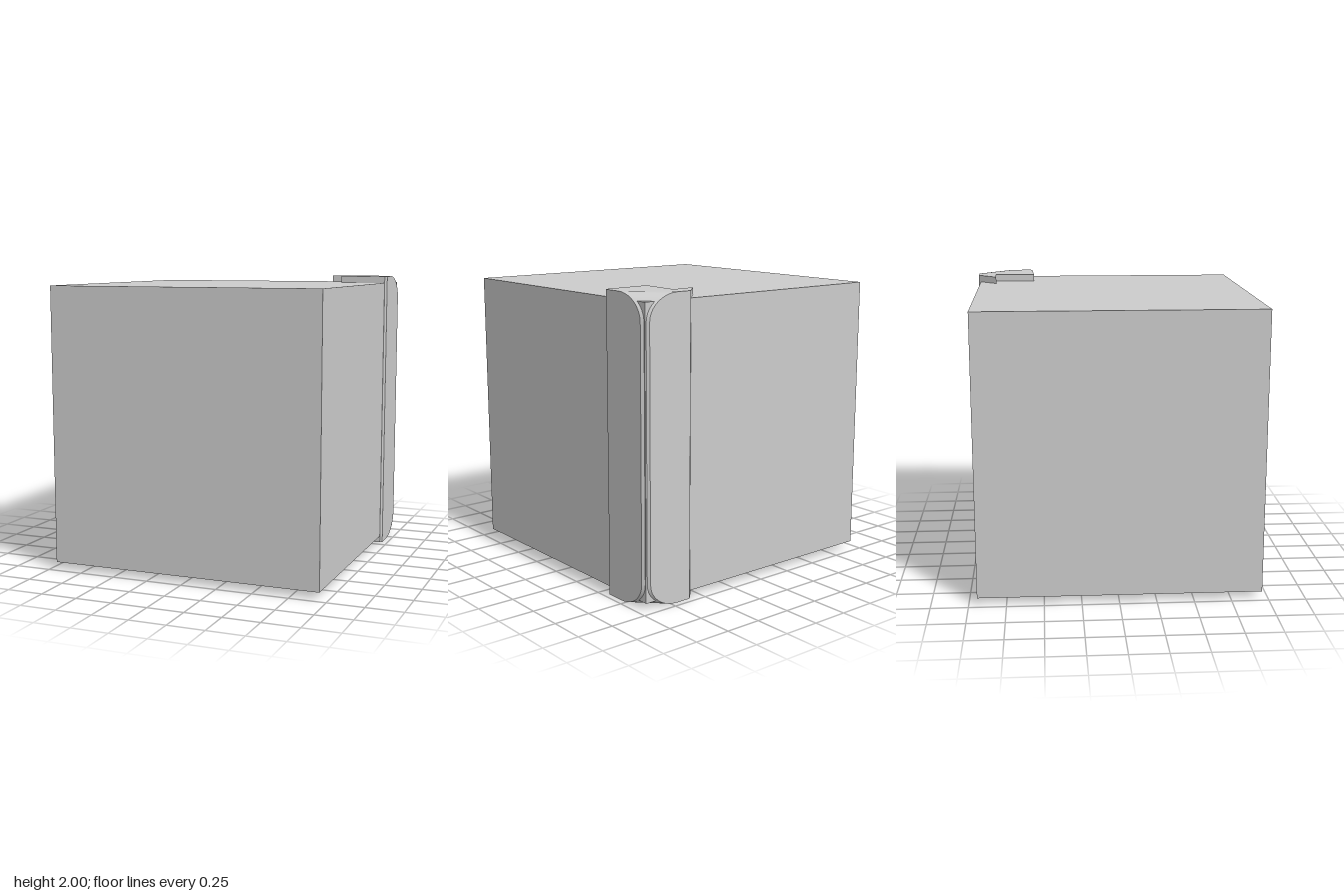
import * as THREE from 'three';
import { toCreasedNormals } from 'three/addons/utils/BufferGeometryUtils.js';

const material = new THREE.MeshStandardMaterial({ color: 0xcccccc });

function addMesh(group, name, geometry) {
  const mesh = new THREE.Mesh(geometry, material);
  mesh.name = name;
  group.add(mesh);
  return mesh;
}

// Corner post: a notched plan extruded upwards, its outer chamfer rounding over at both ends
function cornerPostGeometry() {
  const arcSteps = 10, height = 2, radius = 0.17, reach = 0.22;
  const outer = 0.96, chamfer = 0.04;
  const inset = outer - chamfer - reach; // chamfer corners at the end caps
  const plan = [ // x, -z
    [0.6, outer], [0.47, 0.825], [0.635, 0.835], [0.62, 0.545],
    [0.945, 0.56], [outer, 0.575], [outer, inset], [inset, outer],
  ];
  const shape = new THREE.Shape(plan.map(([x, y]) => new THREE.Vector2(x, y)));
  const steps = 2 * arcSteps + 1;
  const geometry = new THREE.ExtrudeGeometry(shape, { depth: steps, steps, bevelEnabled: false });
  geometry.rotateX(-Math.PI / 2);

  const p = geometry.attributes.position;
  const near = (a, b) => Math.abs(a - b) < 1e-4;
  for (let i = 0; i < p.count; i++) {
    const level = Math.round(p.getY(i));
    const upper = level > arcSteps;
    const angle = (upper ? steps - level : level) / arcSteps * Math.PI / 2;
    const y = radius * (1 - Math.cos(angle));
    const push = reach * Math.sin(angle);
    const x = p.getX(i), z = p.getZ(i);
    p.setY(i, upper ? height - y : y);
    if (near(x, inset) && near(z, -outer)) p.setX(i, x + push);
    if (near(x, outer) && near(z, -inset)) p.setZ(i, z - push);
  }
  return toCreasedNormals(geometry, 0.5);
}

export function createModel() {
  const group = new THREE.Group();
  group.name = 'blockWithCornerPost';

  // Main cube
  const block = addMesh(group, 'block', new THREE.BoxGeometry(1.905, 1.905, 1.905));
  block.position.set(-0.0085, 1, 0.0075);

  // Protector wrapped around the back corner
  addMesh(group, 'cornerPost', cornerPostGeometry());
  return group;
}
